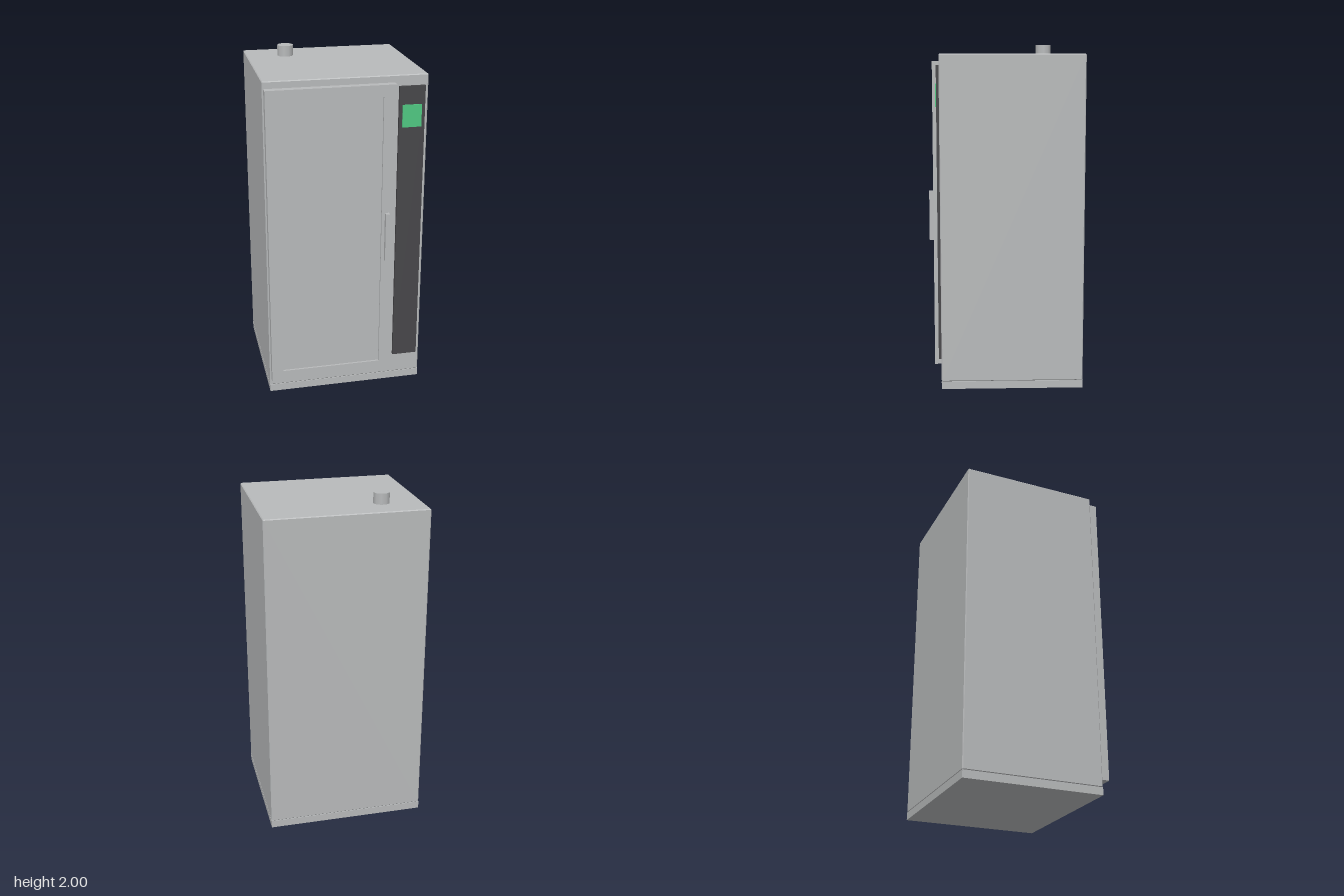
import * as THREE from 'three';
import { ConvexGeometry } from 'three/addons/geometries/ConvexGeometry.js';

const steel = new THREE.MeshStandardMaterial({ name: 'steel grey', color: 0xb8babb });
const charcoal = new THREE.MeshStandardMaterial({ name: 'charcoal', color: 0x48474a });
const green = new THREE.MeshStandardMaterial({ name: 'display green', color: 0x50c882 });

// Box given by its min and max along each axis
function box(name, material, [x0, x1], [y0, y1], [z0, z1]) {
  const mesh = new THREE.Mesh(new THREE.BoxGeometry(x1 - x0, y1 - y0, z1 - z0), material);
  mesh.position.set((x0 + x1) / 2, (y0 + y1) / 2, (z0 + z1) / 2);
  mesh.name = name;
  return mesh;
}

// Box with every edge cut by a small chamfer
function chamferedBox(w, h, d, c) {
  const points = [];
  for (const sx of [-1, 1]) for (const sy of [-1, 1]) for (const sz of [-1, 1]) {
    for (const [a, b, e] of [[0, c, c], [c, 0, c], [c, c, 0]]) {
      points.push(new THREE.Vector3(sx * (w / 2 - a), sy * (h / 2 - b), sz * (d / 2 - e)));
    }
  }
  return new ConvexGeometry(points);
}

export function createModel() {
  const model = new THREE.Group();
  model.name = 'cabinet';

  // Plinth and main housing
  model.add(box('plinth', steel, [-0.468, 0.468], [0, 0.045], [-0.448, 0.378]));
  const housing = new THREE.Mesh(chamferedBox(0.936, 1.892, 0.826, 0.005), steel);
  housing.position.set(0, 0.991, -0.035);
  housing.name = 'housing';
  model.add(housing);

  // Exhaust stub on the roof
  const exhaust = new THREE.Mesh(new THREE.CylinderGeometry(0.048, 0.048, 0.066, 10), steel);
  exhaust.position.set(-0.236, 1.967, -0.258);
  exhaust.rotation.y = Math.PI / 10;
  exhaust.name = 'exhaust';
  model.add(exhaust);

  // Framed door with a slightly recessed panel
  const door = new THREE.Group();
  door.name = 'door';
  const depth = [0.377, 0.423];
  door.add(
    box('topRail', steel, [-0.46, 0.275], [1.828, 1.896], depth),
    box('bottomRail', steel, [-0.46, 0.275], [0.09, 0.16], depth),
    box('rightStile', steel, [-0.46, -0.39], [0.16, 1.828], depth),
    box('leftStile', steel, [0.202, 0.275], [0.16, 1.828], depth),
    box('doorPanel', steel, [-0.39, 0.202], [0.16, 1.828], [0.377, 0.411]),
    box('handle', steel, [0.221, 0.245], [0.845, 1.14], [0.423, 0.448])
  );
  model.add(door);

  // Control strip and its display
  model.add(box('controlStrip', charcoal, [0.298, 0.448], [0.175, 1.875], [0.377, 0.394]));
  model.add(box('display', green, [0.317, 0.428], [1.64, 1.77], [0.394, 0.4]));

  return model;
}
